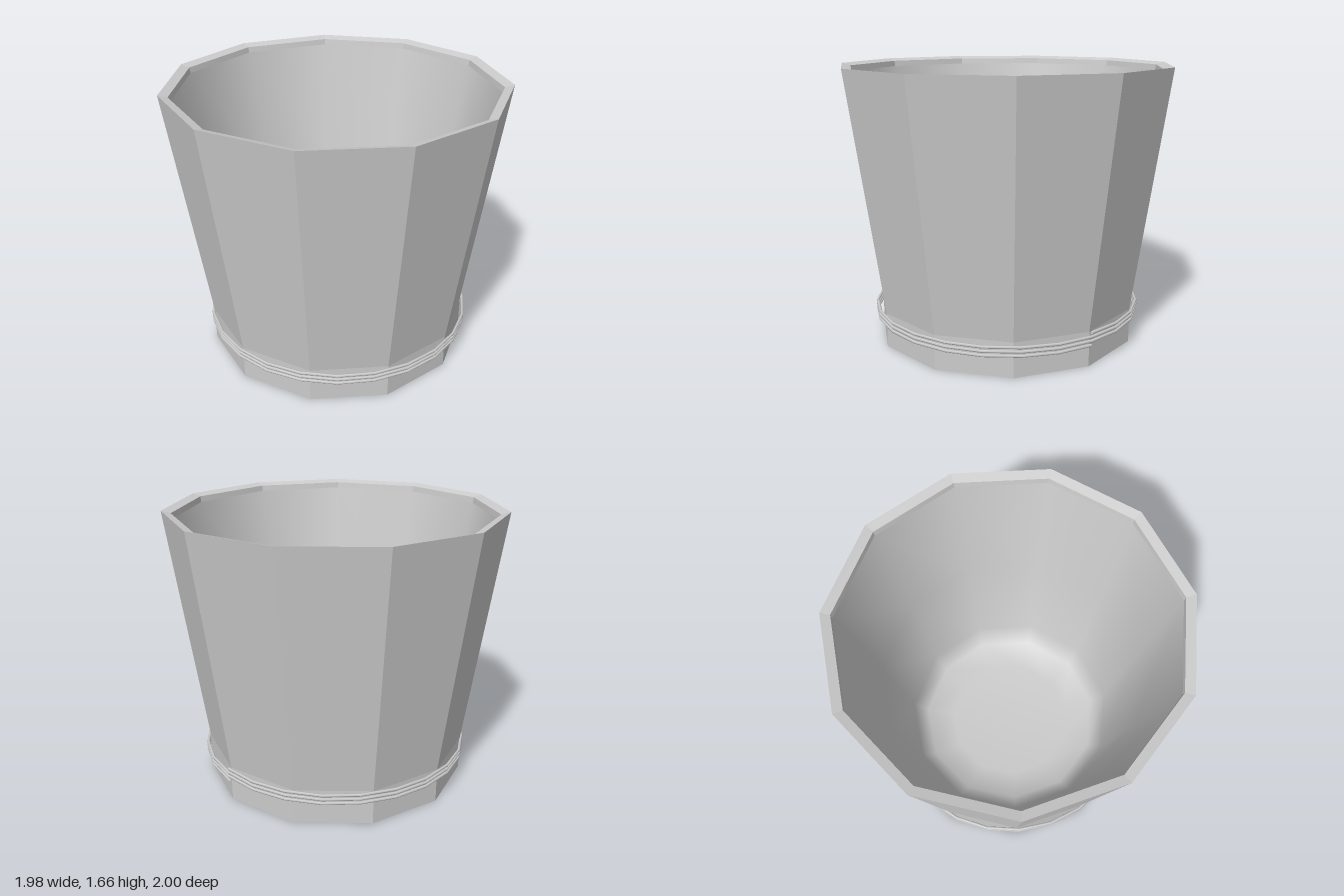
import * as THREE from 'three';

const SIDES = 11;
const CENTRE_X = -0.02;

// Eleven-sided turned shell with one corner pointing to +x
function shell(name, profile, flatShading) {
  const points = profile.map(([r, y]) => new THREE.Vector2(r, y));
  const geometry = new THREE.LatheGeometry(points, SIDES, Math.PI / 2);
  const mesh = new THREE.Mesh(geometry, new THREE.MeshStandardMaterial({ color: 0xcccccc, flatShading }));
  mesh.name = name;
  mesh.position.x = CENTRE_X;
  return mesh;
}

// Rising coil, starting at +x and turning towards +z
class Coil extends THREE.Curve {
  constructor(radius, y0, y1, turns) {
    super();
    Object.assign(this, { radius, y0, y1, turns });
  }
  getPoint(t, target = new THREE.Vector3()) {
    const a = t * this.turns * Math.PI * 2;
    return target.set(
      this.radius * Math.cos(a),
      THREE.MathUtils.lerp(this.y0, this.y1, t),
      this.radius * Math.sin(a)
    );
  }
}

export function createModel() {
  const group = new THREE.Group();
  group.name = 'bucket';

  // Flat base, upright foot and flared faceted wall
  group.add(shell('outerWall', [[0, 0], [0.803, 0], [0.803, 0.21], [1.01, 1.66]], true));

  // Narrow bevelled rim
  group.add(shell('rim', [[1.01, 1.66], [0.955, 1.645], [0.95, 1.61]], true));

  // Smooth inside wall rounding into the floor
  group.add(shell('innerWall', [
    [0.95, 1.61], [0.8, 0.87], [0.67, 0.22], [0.58, 0.12], [0.4, 0.07], [0, 0.07],
  ], false));

  // Wire wound three times around the foot
  const wire = new THREE.Mesh(
    new THREE.TubeGeometry(new Coil(0.816, 0.135, 0.21, 3), 72, 0.009, 6),
    new THREE.MeshStandardMaterial({ color: 0xcccccc, side: THREE.DoubleSide })
  );
  wire.name = 'wireCoil';
  wire.position.x = -0.015;
  group.add(wire);

  return group;
}
